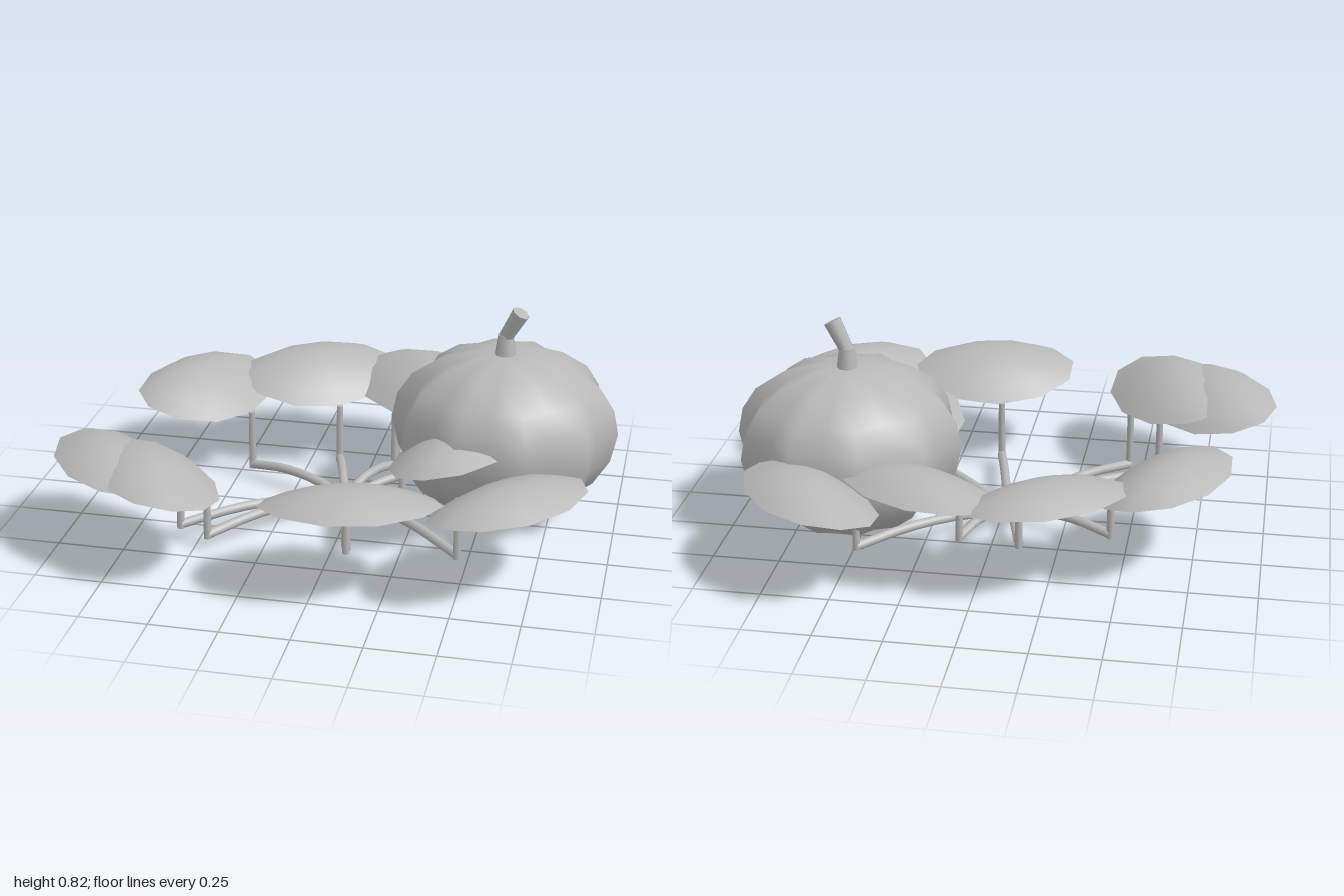
import * as THREE from 'three';
import { mergeVertices } from 'three/addons/utils/BufferGeometryUtils.js';

const V = (x, y, z) => new THREE.Vector3(x, y, z);
const HUB = V(-0.03, 0.035, -0.03);

// each leaf: stalk foot x, z, blade centre x, z
// and, where the blade is twisted, its own outward direction x, z
const LEAVES = [
  [-0.44, -0.20, -0.645, -0.29],
  [-0.115, -0.33, -0.235, -0.52, -0.53, -0.85],
  [0.11, -0.31, 0.205, -0.51],
  [0.47, -0.44, 0.59, -0.615],
  [0.205, 0.04, 0.41, 0.10],
  [0.47, 0.39, 0.66, 0.51],
  [0.07, 0.43, 0.13, 0.64],
  [-0.45, 0.42, -0.60, 0.545, -0.84, 0.54],
  [-0.57, 0.36, -0.76, 0.48],
];

// Domed oval blade: low at the stalk, highest in the middle
function bladeGeometry(cx, cz, dx, dz) {
  const across = 0.325, along = 0.22, sides = 11, rings = 4;
  const pos = [], idx = [];
  const put = (r, a) => {
    const s = Math.cos(a) * r, t = Math.sin(a) * r;
    const inward = (1 - t) / 2;
    const y = 0.28 + 0.095 * (1 - inward * inward) + 0.075 * (1 - r * r);
    pos.push(cx + dx * t * along - dz * s * across, y, cz + dz * t * along + dx * s * across);
  };
  put(0, 0);
  for (let i = 1; i <= rings; i++) {
    for (let j = 0; j < sides; j++) put(i / rings, -Math.PI / 2 + (j / sides) * Math.PI * 2);
  }
  const at = (i, j) => 1 + (i - 1) * sides + (j % sides);
  for (let j = 0; j < sides; j++) {
    idx.push(0, at(1, j), at(1, j + 1));
    for (let i = 1; i < rings; i++) {
      idx.push(at(i, j), at(i + 1, j), at(i + 1, j + 1), at(i, j), at(i + 1, j + 1), at(i, j + 1));
    }
  }
  const g = new THREE.BufferGeometry();
  g.setAttribute('position', new THREE.Float32BufferAttribute(pos, 3));
  // wind the faces so that the top is the front
  for (let k = 0; k < idx.length; k += 3) [idx[k + 1], idx[k + 2]] = [idx[k + 2], idx[k + 1]];
  g.setIndex(idx);
  g.computeVertexNormals();
  return g;
}

// Ribbed fruit body: a lathe with ten lobes
function fruitGeometry() {
  const profile = [[0, 0.005], [0.14, 0.025], [0.25, 0.065], [0.345, 0.14], [0.405, 0.235], [0.43, 0.35],
    [0.41, 0.445], [0.355, 0.53], [0.245, 0.605], [0.115, 0.642], [0, 0.64]];
  const g = new THREE.LatheGeometry(profile.map(([r, y]) => new THREE.Vector2(r, y)), 20);
  const p = g.attributes.position;
  for (let i = 0; i < p.count; i++) {
    const lobe = 0.94 + 0.06 * Math.cos(10 * Math.atan2(p.getZ(i), p.getX(i)));
    p.setX(i, p.getX(i) * lobe);
    p.setZ(i, p.getZ(i) * lobe);
  }
  g.deleteAttribute('uv');
  g.deleteAttribute('normal');
  const merged = mergeVertices(g, 1e-4);
  merged.computeVertexNormals();
  return merged;
}

export function createModel() {
  const model = new THREE.Group();
  const grey = new THREE.MeshStandardMaterial({ color: 0xb8b8b8, side: THREE.DoubleSide });
  grey.name = 'plain grey';
  const add = (parent, name, geometry) => {
    const mesh = new THREE.Mesh(geometry, grey);
    mesh.name = name;
    parent.add(mesh);
    return mesh;
  };

  // fruit and its bent stalk
  add(model, 'fruit', fruitGeometry()).position.set(0.56, 0, -0.135);
  const stalk = new THREE.Group();
  stalk.name = 'fruitStalk';
  model.add(stalk);
  const lower = add(stalk, 'stalkBase', new THREE.CylinderGeometry(0.029, 0.042, 0.085, 7));
  lower.position.set(0.557, 0.675, -0.132);
  const from = V(0.556, 0.705, -0.132), to = V(0.613, 0.812, -0.115);
  const upper = add(stalk, 'stalkTip', new THREE.CylinderGeometry(0.034, 0.027, from.distanceTo(to), 7));
  upper.position.copy(from).lerp(to, 0.5);
  upper.quaternion.setFromUnitVectors(V(0, 1, 0), to.clone().sub(from).normalize());

  // creeping runners, each with an upright stalk and a leaf
  LEAVES.forEach(([px, pz, cx, cz, ox, oz], n) => {
    const leaf = new THREE.Group();
    leaf.name = `leafBranch${n + 1}`;
    model.add(leaf);
    const along = (t, y) => V(HUB.x + (px - HUB.x) * t, y, HUB.z + (pz - HUB.z) * t);
    const path = new THREE.CatmullRomCurve3([along(0, HUB.y), along(0.3, 0.072), along(0.65, 0.082), along(1, 0.06)]);
    add(leaf, 'runner', new THREE.TubeGeometry(path, 8, 0.018, 7, false));
    add(leaf, 'leafStalk', new THREE.CylinderGeometry(0.013, 0.015, 0.24, 7)).position.set(px, 0.165, pz);
    const out = new THREE.Vector2(ox ?? px - HUB.x, oz ?? pz - HUB.z).normalize();
    add(leaf, 'leafBlade', bladeGeometry(cx, cz, out.x, out.y));
  });
  return model;
}
